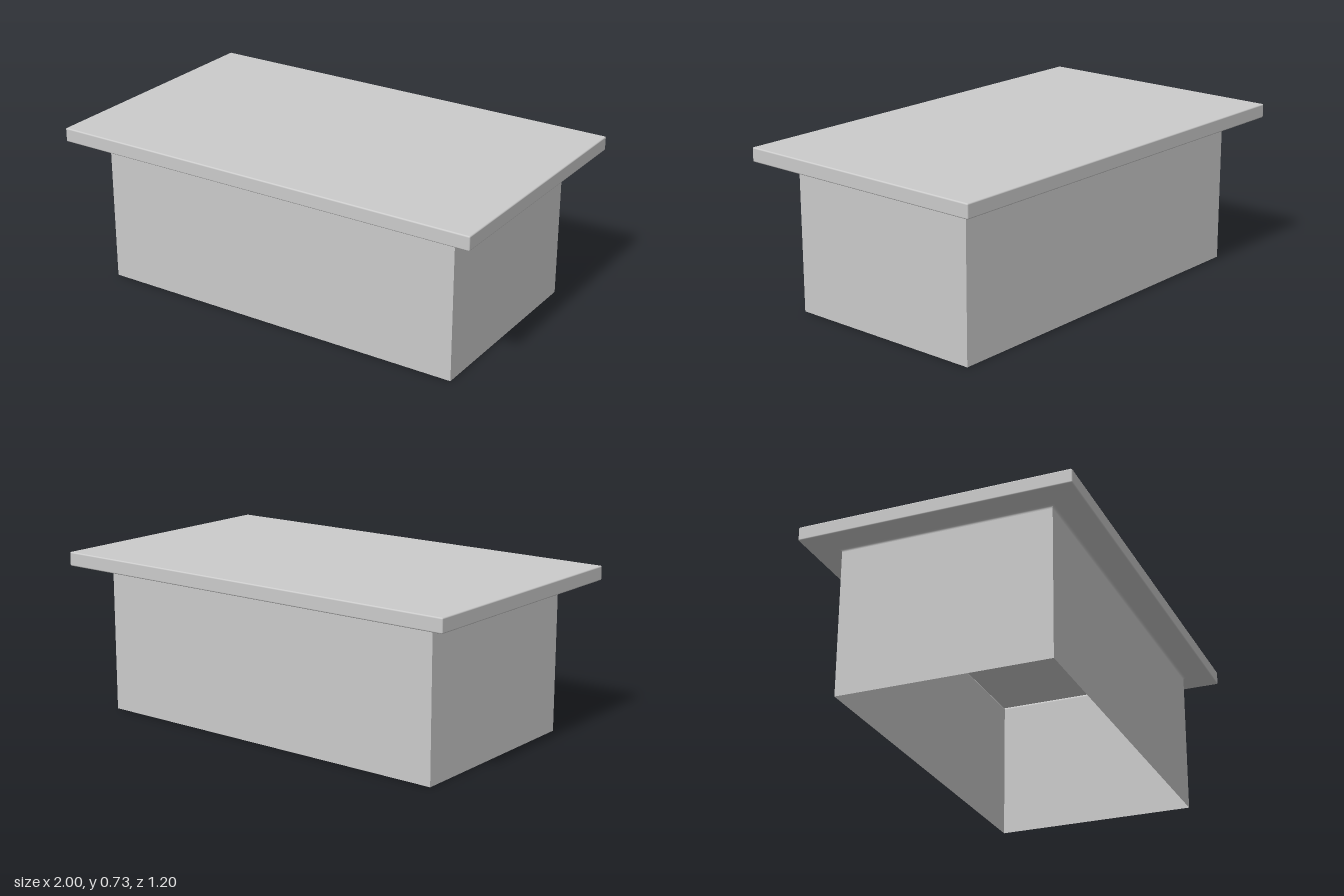
import * as THREE from 'three';
import { RoundedBoxGeometry } from 'three/addons/geometries/RoundedBoxGeometry.js';

// Sweeps a profile of [outward offset, height] around a rectangle, with mitred corners.
function rectSweep(halfX, halfZ, profile) {
  const corners = [[-1, 1], [1, 1], [1, -1], [-1, -1]];
  const positions = [];
  const indices = [];
  corners.forEach((a, side) => {
    const b = corners[(side + 1) % 4];
    const base = positions.length / 3;
    profile.forEach(([out, y], i) => {
      for (const [sx, sz] of [a, b]) positions.push(sx * (halfX + out), y, sz * (halfZ + out));
      if (i > 0) {
        const k = base + (i - 1) * 2;
        indices.push(k, k + 1, k + 3, k, k + 3, k + 2);
      }
    });
  });
  const geometry = new THREE.BufferGeometry();
  geometry.setAttribute('position', new THREE.Float32BufferAttribute(positions, 3));
  geometry.setIndex(indices);
  geometry.computeVertexNormals();
  return geometry;
}

export function createModel() {
  const group = new THREE.Group();
  const material = new THREE.MeshStandardMaterial({ color: 0xcccccc });
  const sheet = new THREE.MeshStandardMaterial({ color: 0xcccccc, side: THREE.DoubleSide });
  const add = (name, geometry, mat) => {
    const mesh = new THREE.Mesh(geometry, mat);
    mesh.name = name;
    group.add(mesh);
    return mesh;
  };

  const halfX = 0.865, halfZ = 0.467;
  const under = 0.667, top = 0.73, fillet = 0.012;

  // Overhanging slab with slightly eased edges
  const slab = add('topSlab', new RoundedBoxGeometry(2, top - under, 1.2, 3, 0.006), material);
  slab.position.y = (top + under) / 2;

  // Thin walls, open at the bottom
  add('walls', rectSweep(halfX, halfZ, [[0, 0], [0, under - fillet]]), sheet);

  // Concave fillet where the walls meet the slab
  const cove = [];
  for (let i = 0; i <= 6; i++) {
    const t = (i / 6) * Math.PI / 2;
    cove.push([fillet * (1 - Math.cos(t)), under - fillet * (1 - Math.sin(t))]);
  }
  add('wallFillet', rectSweep(halfX, halfZ, cove), sheet);

  return group;
}
